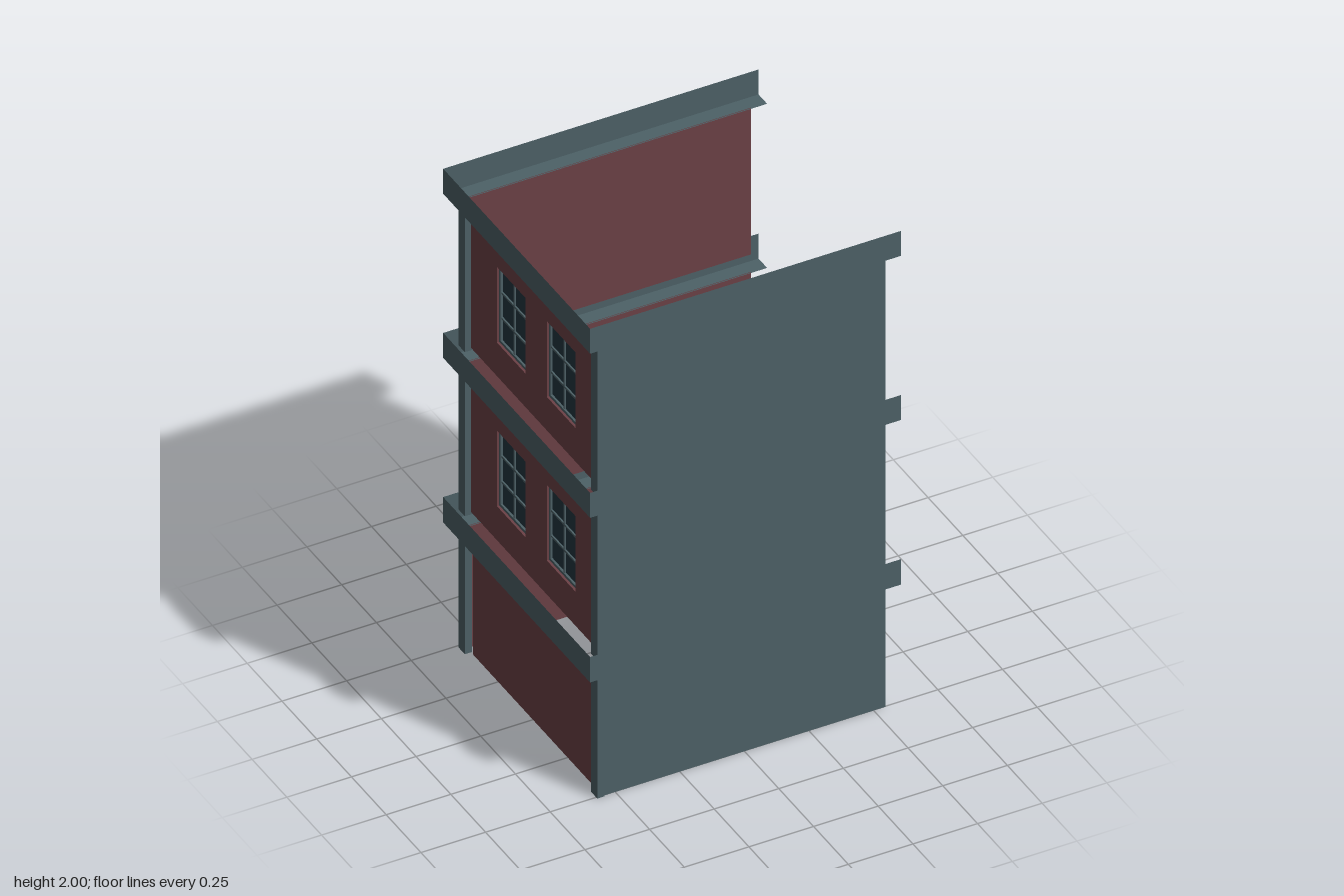
import * as THREE from 'three';

const mat = (color) => new THREE.MeshStandardMaterial({ color, side: THREE.DoubleSide });

export function createModel() {
  const model = new THREE.Group();
  const teal = mat(0x4d6167);
  const brick = mat(0x6c4146);
  const glass = mat(0x22353f);

  const add = (name, geometry, material, x = 0, y = 0, z = 0, parent = model) => {
    const mesh = new THREE.Mesh(geometry, material);
    mesh.name = name;
    mesh.position.set(x, y, z);
    parent.add(mesh);
    return mesh;
  };
  const box = (name, w, h, d, material, x, y, z, parent) =>
    add(name, new THREE.BoxGeometry(w, h, d), material, x, y, z, parent);

  // Rectangle as a closed path in (z, y)
  const rect = (target, z0, z1, y0, y1) => {
    target.moveTo(z0, y0);
    target.lineTo(z1, y0);
    target.lineTo(z1, y1);
    target.lineTo(z0, y1);
    target.closePath();
    return target;
  };

  // Moulding: an upright band with a lip beneath, mitred round three sides
  const cornice = (y0, y1) => {
    const outer = [[0.592, 0.527], [-0.61, 0.527], [-0.61, -0.53], [0.61, -0.53]];
    const inner = [[0.592, 0.495], [-0.545, 0.495], [-0.545, -0.468], [0.61, -0.468]];
    const pos = [];
    const quad = (a, b, c, d) => pos.push(...a, ...b, ...c, ...a, ...c, ...d);
    for (let i = 0; i < 3; i++) {
      const at = (ring, k, y) => [ring[k][0], y, ring[k][1]];
      quad(at(outer, i, y1), at(outer, i + 1, y1), at(outer, i + 1, y0), at(outer, i, y0));
      quad(at(outer, i, y0), at(outer, i + 1, y0), at(inner, i + 1, y0), at(inner, i, y0));
    }
    const geometry = new THREE.BufferGeometry();
    geometry.setAttribute('position', new THREE.Float32BufferAttribute(pos, 3));
    geometry.computeVertexNormals();
    add('cornice', geometry, teal);
  };

  // Recessed window: reveal, pane and glazing bars
  const windowUnit = (z, y) => {
    const g = new THREE.Group();
    g.name = 'window';
    g.position.set(-0.548, y, z);
    model.add(g);
    const W = 0.208, H = 0.32, D = 0.02, bar = 0.012;
    for (const s of [-1, 1]) {
      box('revealSide', D, H, 0.002, brick, D / 2, 0, s * W / 2, g);
      box('revealEnd', D, 0.002, W, brick, D / 2, s * H / 2, 0, g);
      box('frameSide', 0.008, H, bar, teal, 0.013, 0, s * (W - bar) / 2, g);
      box('frameEnd', 0.008, bar, W, teal, 0.013, s * (H - bar) / 2, 0, g);
      box('crossBar', 0.006, 0.008, W, teal, 0.014, s * H / 6, 0, g);
    }
    box('uprightBar', 0.006, H, 0.008, teal, 0.014, 0, 0, g);
    box('pane', 0.002, H, W, glass, 0.019, 0, 0, g);
  };

  // Storeys: bottom, top, extents of the side wall, window height
  const storeys = [
    { y0: 0, y1: 0.515, z0: -0.432, z1: 0.476 },
    { y0: 0.59, y1: 1.207, z0: -0.45, z1: 0.492, win: 0.892 },
    { y0: 1.28, y1: 1.897, z0: -0.45, z1: 0.492, win: 1.58 },
  ];
  for (const { y0, y1, z0, z1, win } of storeys) {
    const h = y1 - y0, y = (y0 + y1) / 2;
    add('frontWall', new THREE.PlaneGeometry(1.115, h), teal, -0.0125, y, 0.503);
    const back = add('backWall', new THREE.PlaneGeometry(1.105, h), brick, -0.0025, y, -0.472);
    back.rotation.y = Math.PI;

    // Side wall with window openings
    const shape = rect(new THREE.Shape(), z0, z1, y0, y1);
    if (win) {
      for (const z of [-0.156, 0.203]) {
        shape.holes.push(rect(new THREE.Path(), z - 0.104, z + 0.104, win - 0.16, win + 0.16));
        windowUnit(z, win);
      }
    }
    add('sideWall', new THREE.ShapeGeometry(shape).rotateY(-Math.PI / 2), brick, -0.548);

    // Corner posts
    for (const z of [-0.468, 0.485]) {
      box('cornerPost', 0.028, h + (win ? 0.01 : 0), 0.046, teal, -0.558, y - (win ? 0.005 : 0), z);
    }
  }

  cornice(0.513, 0.62);
  cornice(1.205, 1.31);
  cornice(1.895, 2.0);
  return model;
}
